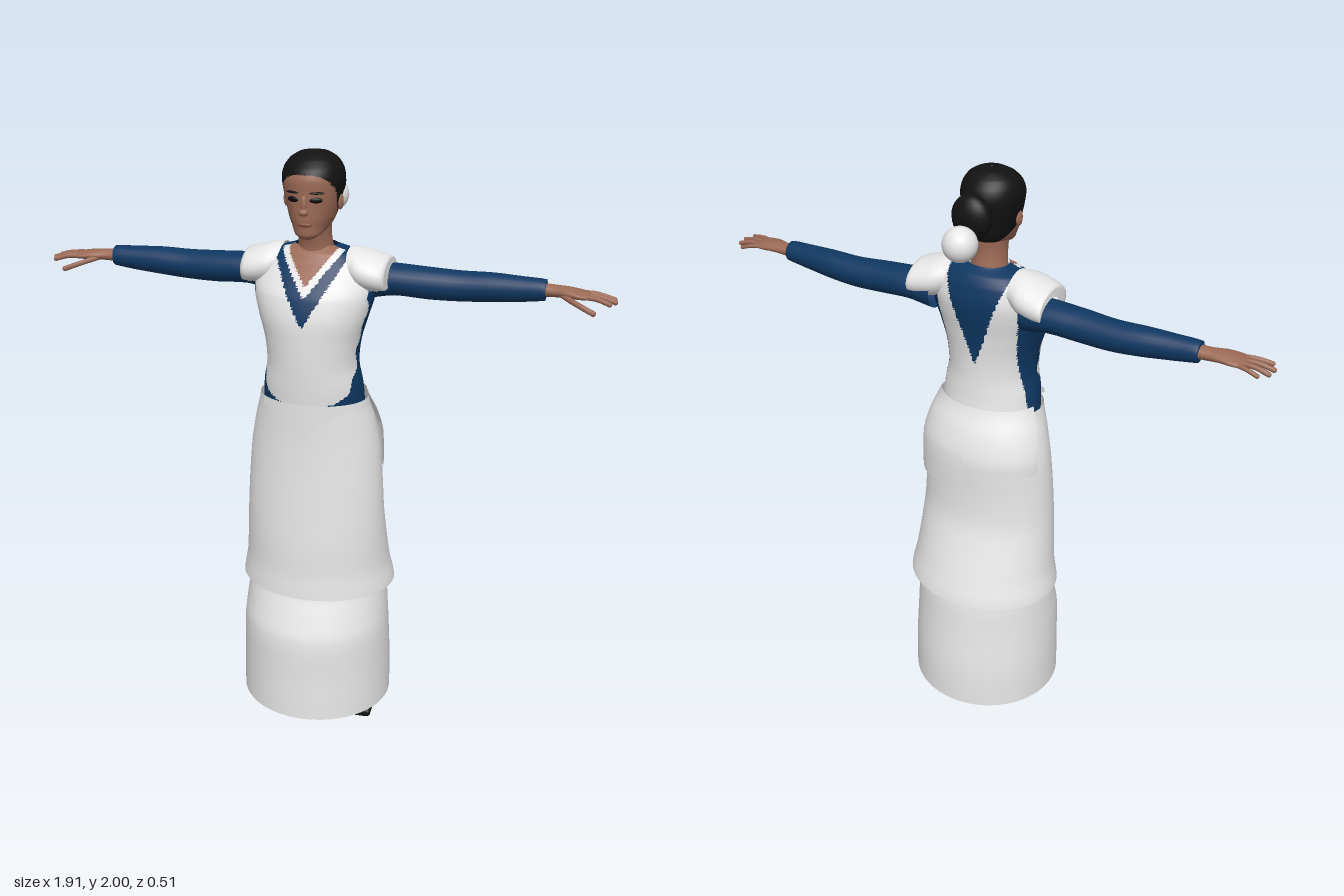
import * as THREE from 'three';

const flat = (name, color, side = THREE.FrontSide) => {
  const m = new THREE.MeshStandardMaterial({ color, side });
  m.name = name;
  return m;
};

// Smooth interpolation through a list of cross-sections
function sample(sections, f) {
  const n = sections.length - 1, i = Math.min(Math.floor(f), n - 1), k = f - i;
  const at = (q) => sections[Math.max(0, Math.min(n, q))];
  return sections[0].map((_, c) => {
    const [a, b, d, e] = [at(i - 1)[c], at(i)[c], at(i + 1)[c], at(i + 2)[c]];
    if (c === 0) return b + (d - b) * k;
    return b + 0.5 * k * (d - a + k * (2 * a - 5 * b + 4 * d - e + k * (3 * (b - d) + e - a)));
  });
}

// Loft of oval sections [t, uCentre, uRadius, vMax, vMin].
// Upright: t = y, u = x, v = z. With side = +1/-1 it lies along x: u = z, v = y.
// rule(x, y, z) picks the material of each face.
function loft(name, sections, mats, { side = 0, segs = 40, sub = 4, from = 0, to = Math.PI * 2, rule } = {}) {
  const closed = to - from > 6.28, cols = closed ? segs : segs + 1;
  const rows = (sections.length - 1) * sub;
  const pos = [], buckets = mats.map(() => []);
  for (let i = 0; i <= rows; i++) {
    const [t, uc, ur, vMax, vMin] = sample(sections, i / sub);
    for (let j = 0; j < cols; j++) {
      const a = from + (to - from) * j / segs;
      const v = (vMax + vMin) / 2 + (vMax - vMin) / 2 * Math.cos(a);
      if (side) pos.push(side * t, v, uc + side * ur * Math.sin(a));
      else pos.push(uc + ur * Math.sin(a), t, v);
    }
  }
  for (let i = 0; i < rows; i++) for (let j = 0; j < segs; j++) {
    const a = i * cols + j, b = i * cols + (j + 1) % cols, c = b + cols, d = a + cols;
    for (const tri of [[a, b, c], [a, c, d]]) {
      const mid = [0, 1, 2].map((k) => tri.reduce((s, p) => s + pos[p * 3 + k] / 3, 0));
      buckets[rule ? rule(...mid) : 0].push(...tri);
    }
  }
  const g = new THREE.BufferGeometry();
  g.setAttribute('position', new THREE.Float32BufferAttribute(pos, 3));
  g.setIndex(buckets.flat());
  let start = 0;
  buckets.forEach((b, k) => { g.addGroup(start, b.length, k); start += b.length; });
  g.computeVertexNormals();
  const m = new THREE.Mesh(g, mats.length > 1 ? mats : mats[0]);
  m.name = name;
  return m;
}

function ball(name, mat, p, s) {
  const m = new THREE.Mesh(new THREE.SphereGeometry(1, 24, 16), mat);
  m.name = name;
  m.position.set(...p);
  m.scale.set(...s);
  return m;
}

// Rounded rod through points
function rod(name, mat, pts, r) {
  const g = new THREE.Group();
  g.name = name;
  const v = pts.map((p) => new THREE.Vector3(...p));
  g.add(new THREE.Mesh(new THREE.TubeGeometry(new THREE.CatmullRomCurve3(v), 8, r, 8), mat));
  g.add(ball(name + 'Tip', mat, pts[pts.length - 1], [r, r, r]));
  return g;
}

export function createModel() {
  const model = new THREE.Group();
  const white = flat('white cloth', 0xeeeeee, THREE.DoubleSide);
  const blue = flat('blue cloth', 0x0f3761, THREE.DoubleSide);
  const skin = flat('skin', 0x9b6a56);
  const hair = flat('black hair', 0x131112);
  const black = flat('black leather', 0x0c0b0c);
  const lip = flat('lips', 0x85503f);

  // Skirts
  model.add(loft('underskirt', [
    [0.05, 0, 0.265, 0.258, -0.255], [0.2, 0, 0.263, 0.253, -0.25], [0.35, 0, 0.258, 0.248, -0.232],
    [0.44, 0, 0.25, 0.215, -0.222], [0.52, 0, 0.243, 0.185, -0.21]], [white], { segs: 56 }));
  model.add(loft('overskirt', [
    [0.5, 0, 0.27, 0.205, -0.245], [0.58, 0, 0.255, 0.198, -0.22], [0.68, 0, 0.246, 0.195, -0.185],
    [0.78, 0, 0.239, 0.188, -0.153], [0.9, 0, 0.232, 0.18, -0.143], [1.02, 0, 0.222, 0.173, -0.142],
    [1.12, 0, 0.203, 0.17, -0.125], [1.2, 0, 0.182, 0.17, -0.095]], [white], { segs: 56 }));

  // Stepped back peplum, longer on the left
  const peplum = (name, low, from, to) => model.add(loft(name, [
    [low, 0, 0.226, 0.13, -0.166], [1.06, 0, 0.222, 0.13, -0.163],
    [1.14, 0, 0.205, 0.15, -0.138], [1.22, 0, 0.176, 0.165, -0.1]], [white], { segs: 20, from, to }));
  peplum('longPeplum', 0.92, 1.75, Math.PI);
  peplum('shortPeplum', 1.0, Math.PI, 4.5);

  // Pointed front of the vest
  const tip = new THREE.PlaneGeometry(0.28, 1, 28, 4);
  const tp = tip.attributes.position;
  for (let i = 0; i < tp.count; i++) {
    const x = tp.getX(i), k = tp.getY(i) + 0.5, low = 1.08 + Math.abs(x) / 0.14 * 0.11;
    tp.setXYZ(i, x, low + (1.205 - low) * k, 0.04 + 0.142 * Math.sqrt(1 - (x / 0.215) ** 2));
  }
  tip.computeVertexNormals();
  const vestPoint = new THREE.Mesh(tip, white);
  vestPoint.name = 'vestPoint';
  model.add(vestPoint);

  // Torso: white vest over a blue bodice with a V neck in front and back
  const torsoColour = (x, y, z) => {
    const a = Math.abs(x);
    if (z > 0.03 && y > 1.5 && a < 0.13) {
      if (y > 1.585 + a * 1.35) return 2;
      if (y > 1.55 + a * 1.35) return 0;
    }
    if (z > 0.03 && y > 1.46 + a * 1.75) return 1;
    if (z <= 0.03 && y > 1.37 + a * 2.8) return 1;
    const front = Math.max(0.07, 0.15 - (y - 1.2) * 0.75) + 0.008 * Math.sin(y * 70);
    const back = -0.01 - Math.max(0, y - 1.3) * 0.2;
    return z < front && z > back && y < 1.58 ? 1 : 0;
  };
  model.add(loft('torso', [
    [1.18, 0, 0.17, 0.172, -0.1], [1.25, 0, 0.165, 0.177, -0.09], [1.32, 0, 0.153, 0.181, -0.083],
    [1.4, 0, 0.16, 0.183, -0.083], [1.48, 0, 0.182, 0.181, -0.09], [1.55, 0, 0.2, 0.163, -0.1],
    [1.6, 0, 0.2, 0.133, -0.102], [1.65, 0, 0.175, 0.104, -0.092], [1.68, 0, 0.13, 0.085, -0.075],
    [1.7, 0, 0.07, 0.065, -0.045]], [white, blue, skin], { segs: 120, sub: 9, rule: torsoColour }));

  // Arms
  for (const s of [1, -1]) {
    const arm = new THREE.Group();
    arm.name = s > 0 ? 'leftArm' : 'rightArm';
    arm.add(loft('shoulderCap', [
      [0.11, 0, 0.075, 1.693, 1.58], [0.15, 0, 0.096, 1.69, 1.56], [0.2, -0.003, 0.1, 1.677, 1.55],
      [0.237, -0.01, 0.093, 1.664, 1.55], [0.24, -0.03, 0.06, 1.64, 1.55]], [white, blue],
    { side: s, rule: (x, y) => (y < 1.572 ? 1 : 0) }));
    arm.add(loft('sleeve', [
      [0.16, -0.035, 0.06, 1.64, 1.52], [0.25, -0.038, 0.06, 1.638, 1.535], [0.36, -0.04, 0.054, 1.633, 1.53],
      [0.46, -0.046, 0.05, 1.628, 1.53], [0.56, -0.045, 0.046, 1.63, 1.537], [0.66, -0.04, 0.038, 1.627, 1.547],
      [0.73, -0.038, 0.034, 1.624, 1.557], [0.731, -0.038, 0.022, 1.61, 1.57]], [blue], { side: s, segs: 24 }));
    arm.add(loft('palm', [
      [0.72, -0.038, 0.026, 1.612, 1.57], [0.76, -0.036, 0.027, 1.61, 1.572], [0.8, -0.03, 0.037, 1.608, 1.575],
      [0.84, -0.027, 0.042, 1.602, 1.575], [0.865, -0.025, 0.036, 1.597, 1.577], [0.87, -0.025, 0.01, 1.59, 1.583]],
    [skin], { side: s, segs: 20 }));
    const finger = (name, pts, r) => arm.add(rod(name, skin, pts.map(([x, y, z]) => [s * x, y, z]), r));
    finger('littleFinger', [[0.84, 1.588, -0.056], [0.88, 1.586, -0.065], [0.914, 1.576, -0.07]], 0.007);
    finger('ringFinger', [[0.84, 1.588, -0.04], [0.9, 1.587, -0.043], [0.94, 1.576, -0.045]], 0.008);
    finger('middleFinger', [[0.84, 1.588, -0.02], [0.9, 1.587, -0.016], [0.945, 1.576, -0.012]], 0.008);
    finger('indexFinger', [[0.84, 1.588, 0], [0.89, 1.587, 0.009], [0.93, 1.577, 0.02]], 0.008);
    finger('thumb', [[0.78, 1.586, -0.015], [0.82, 1.575, 0.018], [0.85, 1.565, 0.034], [0.885, 1.552, 0.045]], 0.009);
    model.add(arm);
  }

  // Neck and head, with the hair coloured behind the hairline
  model.add(loft('neck', [
    [1.64, 0, 0.075, 0.085, -0.045], [1.69, 0, 0.058, 0.077, -0.04], [1.74, 0, 0.052, 0.088, -0.032],
    [1.8, 0, 0.055, 0.1, -0.035]], [skin]));
  const hairline = (x, y, z) => {
    if (y > 1.937) return 1;
    if (y < 1.765) return 0;
    const edge = y > 1.89 ? 0.09 + (y - 1.89) * 1.0 : y > 1.83 ? 0.06 + (y - 1.83) * 0.5 : 0.06 - (1.83 - y) * 1.4;
    return z < edge ? 1 : 0;
  };
  model.add(loft('head', [
    [1.733, 0, 0.003, 0.115, 0.11], [1.737, 0, 0.022, 0.133, 0.085], [1.75, 0, 0.043, 0.143, 0.045],
    [1.775, 0, 0.061, 0.145, -0.03], [1.8, 0, 0.073, 0.147, -0.05], [1.84, 0, 0.084, 0.147, -0.058],
    [1.88, 0, 0.094, 0.147, -0.065], [1.92, 0, 0.099, 0.147, -0.066], [1.95, 0, 0.092, 0.134, -0.057],
    [1.975, 0, 0.074, 0.107, -0.037], [1.992, 0, 0.045, 0.075, -0.01], [2, 0, 0.002, 0.034, 0.03]],
  [skin, hair], { segs: 80, sub: 8, rule: hairline }));
  model.add(ball('noseBridge', skin, [0, 1.845, 0.144], [0.01, 0.032, 0.012]));
  model.add(ball('noseTip', skin, [0, 1.825, 0.15], [0.016, 0.012, 0.015]));
  model.add(ball('mouth', lip, [0, 1.785, 0.143], [0.024, 0.007, 0.006]));
  for (const s of [1, -1]) {
    const eye = ball('eye', black, [s * 0.036, 1.862, 0.137], [0.021, 0.009, 0.006]);
    eye.rotation.y = s * 0.3;
    const brow = ball('eyebrow', hair, [s * 0.038, 1.884, 0.137], [0.024, 0.004, 0.006]);
    brow.rotation.y = s * 0.3;
    model.add(eye, brow, ball('ear', skin, [s * 0.088, 1.845, 0.045], [0.009, 0.026, 0.016]));
  }
  model.add(ball('hairBun', hair, [0, 1.88, -0.093], [0.066, 0.072, 0.043]));
  model.add(ball('hairPompom', white, [0, 1.82, -0.165], [0.055, 0.055, 0.055]));

  // Heeled boots
  const profile = new THREE.Shape();
  profile.moveTo(0.11, 0);
  profile.quadraticCurveTo(0.115, 0.03, 0.07, 0.04);
  profile.quadraticCurveTo(0, 0.07, -0.04, 0.15);
  profile.lineTo(-0.125, 0.15);
  profile.quadraticCurveTo(-0.135, 0.1, -0.125, 0.07);
  profile.quadraticCurveTo(-0.06, 0.05, -0.03, 0.008);
  profile.lineTo(0, 0);
  for (const s of [1, -1]) {
    const boot = new THREE.Group();
    boot.name = s > 0 ? 'leftBoot' : 'rightBoot';
    const g = new THREE.ExtrudeGeometry(profile, {
      depth: 0.05, bevelThickness: 0.014, bevelSize: 0.008, bevelOffset: -0.008, bevelSegments: 3, curveSegments: 10 });
    g.translate(0, 0, -0.025).rotateY(-Math.PI / 2);
    const foot = new THREE.Mesh(g, black);
    foot.name = 'foot';
    const heel = new THREE.Mesh(new THREE.CylinderGeometry(0.016, 0.007, 0.09, 12), black);
    heel.name = 'heel';
    heel.position.set(0, 0.045, -0.115);
    boot.add(foot, heel, loft('shaft', [
      [0.1, 0, 0.036, -0.035, -0.127], [0.2, 0, 0.04, -0.035, -0.125], [0.34, 0, 0.05, -0.02, -0.125]], [black], { segs: 20 }));
    boot.position.x = s * 0.18;
    boot.rotation.y = s * 0.08;
    model.add(boot);
  }
  return model;
}
